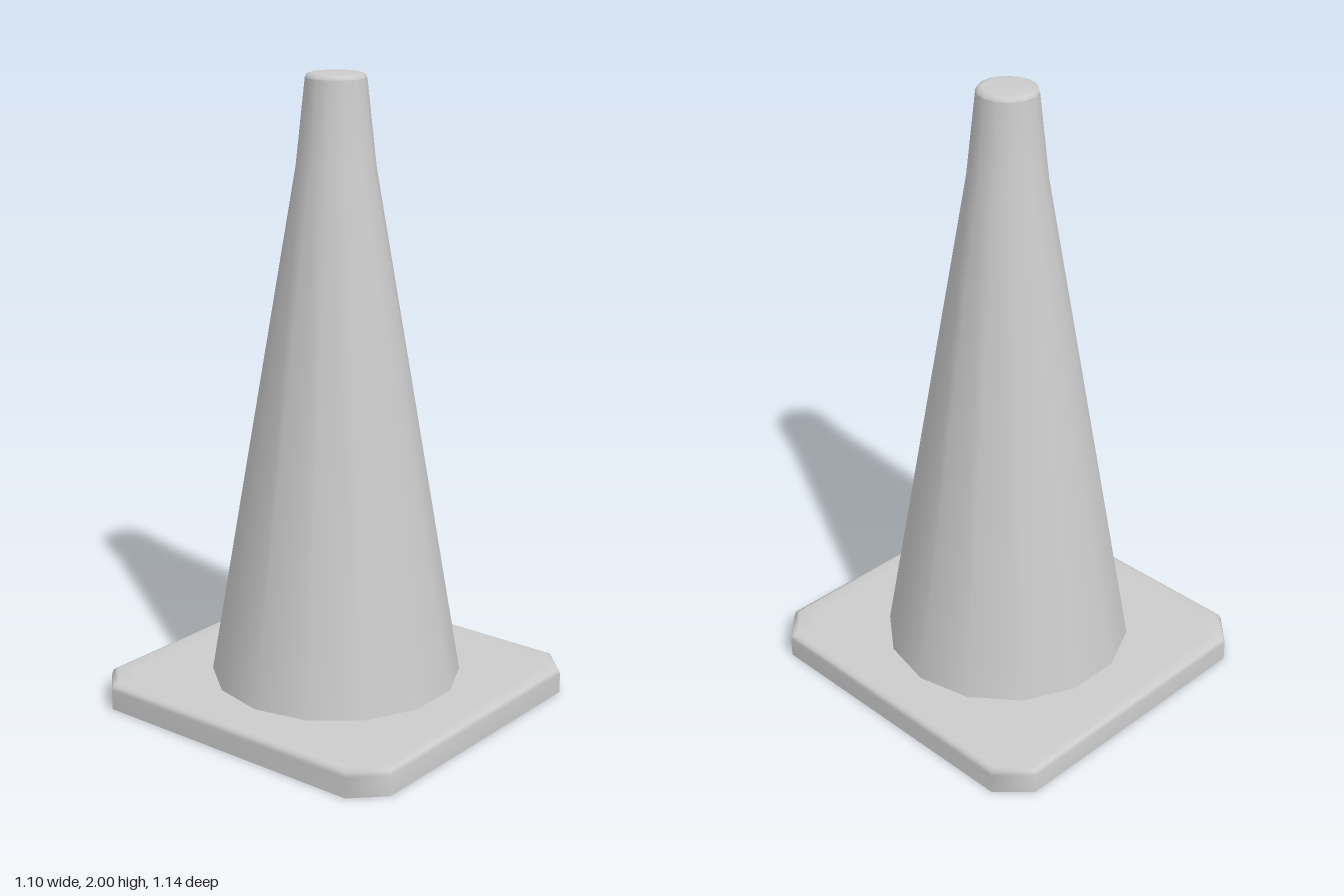
import * as THREE from 'three';

const material = new THREE.MeshStandardMaterial({ color: 0xcccccc });

// Octagonal loop: a rectangle with cut corners
function loop(y, inset, cut = 0.094) {
  const x = 0.548 - inset, z = 0.568 - inset, c = cut - inset * 0.5;
  return [
    [x, z - c], [x, c - z], [x - c, -z], [c - x, -z],
    [-x, c - z], [-x, z - c], [c - x, z], [x - c, z],
  ].map(([px, pz]) => [px, y, pz]);
}

// Skin a stack of loops with smooth normals, optionally closing the last one
function skin(loops, close) {
  const n = 8, points = loops.flat(), index = [];
  for (let r = 0; r < loops.length - 1; r++) {
    for (let i = 0; i < n; i++) {
      const a = r * n + i, b = r * n + (i + 1) % n;
      index.push(a, b, b + n, a, b + n, a + n);
    }
  }
  if (close) {
    const s = (loops.length - 1) * n;
    for (let i = 1; i < n - 1; i++) index.push(s, s + i, s + i + 1);
  }
  const g = new THREE.BufferGeometry();
  g.setAttribute('position', new THREE.Float32BufferAttribute(points.flat(), 3));
  g.setIndex(index);
  g.computeVertexNormals();
  return g;
}

function add(group, name, geometry) {
  const mesh = new THREE.Mesh(geometry, material);
  mesh.name = name;
  group.add(mesh);
}

export function createModel() {
  const model = new THREE.Group();
  model.name = 'trafficCone';

  // Base plate with softened top edge
  add(model, 'basePlate', skin([
    loop(0, 0), loop(0.065, 0), loop(0.079, 0.005), loop(0.085, 0.018), loop(0.085, 0.06),
  ], true));

  // Flat underside, wound to face down
  add(model, 'baseUnderside', skin([loop(0, 0).reverse()], true));

  // Fourteen-sided cone body, slightly steeper near the tip
  const body = [[0.4, 0.08], [0.122, 1.72], [0.093, 1.985]];
  // Closed tip with a small rounded rim
  const tip = [[0.093, 1.985], [0.088, 1.996], [0.075, 2], [0, 2]];
  for (const [name, profile] of [['coneBody', body], ['coneTip', tip]]) {
    const points = profile.map(([r, y]) => new THREE.Vector2(r, y));
    add(model, name, new THREE.LatheGeometry(points, 14, Math.PI / 2));
  }
  return model;
}
